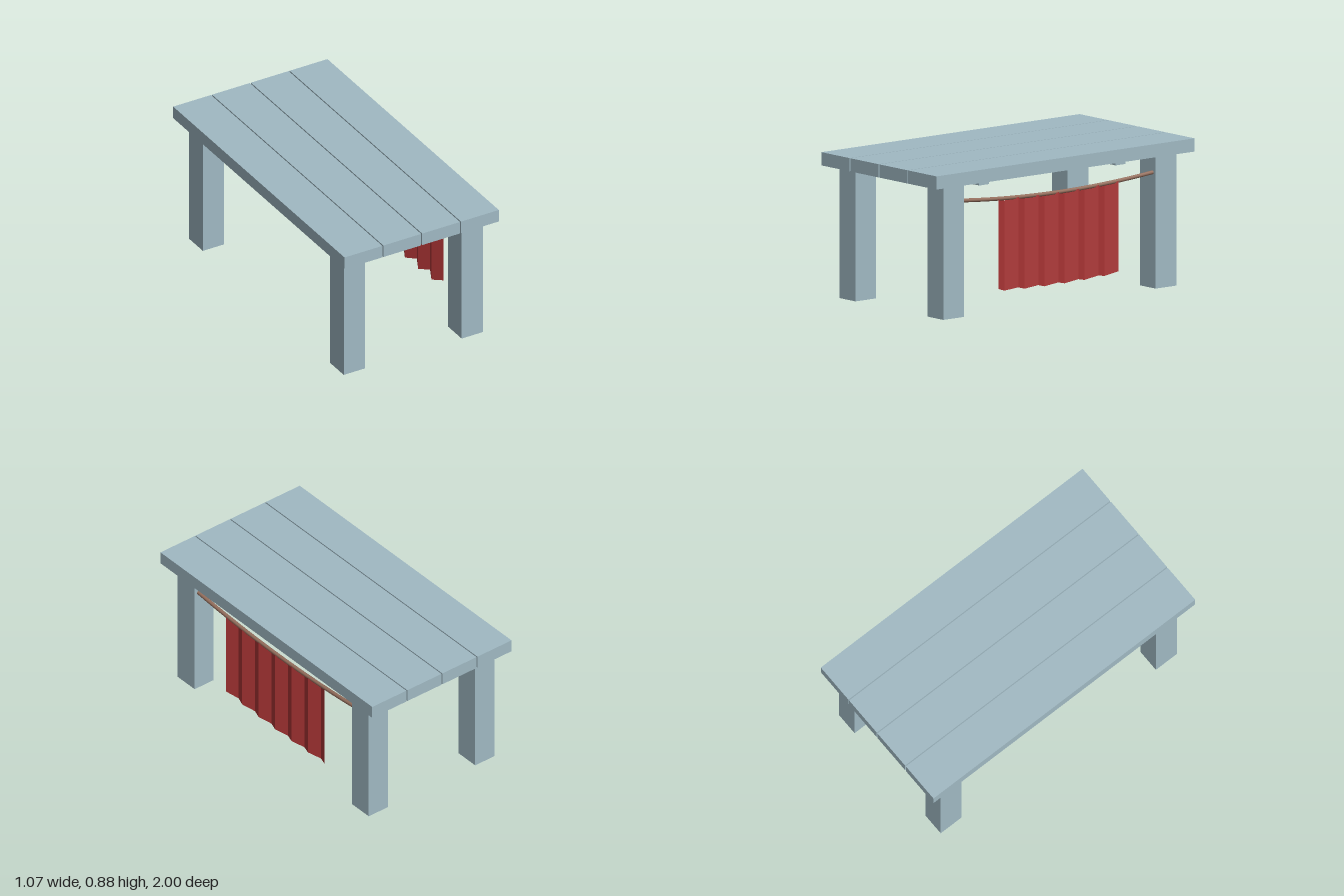
import * as THREE from 'three';

const wood = new THREE.MeshStandardMaterial({ color: 0xa0b9c3 });
wood.name = 'paleBlueWood';
const cloth = new THREE.MeshStandardMaterial({ color: 0xb03636, side: THREE.DoubleSide });
cloth.name = 'redCloth';
const rodBrown = new THREE.MeshStandardMaterial({ color: 0x96705e });
rodBrown.name = 'brownRod';

// height of the sagging rod along z
const rodY = (z) => 0.663 + 0.035 * (z / 0.74) ** 2;

export function createModel() {
  const model = new THREE.Group();
  model.name = 'table';

  const add = (name, geometry, material) => {
    const mesh = new THREE.Mesh(geometry, material);
    mesh.name = name;
    model.add(mesh);
    return mesh;
  };
  const box = (name, w, h, d, x, y, z) =>
    add(name, new THREE.BoxGeometry(w, h, d), wood).position.set(x, y, z);

  // four top planks with narrow gaps
  for (let i = 0; i < 4; i++) box('plank', 0.261, 0.08, 2, (i - 1.5) * 0.268, 0.845, 0);

  // legs and cross rails
  for (const sz of [1, -1]) {
    for (const sx of [1, -1]) box('leg', 0.146, 0.805, 0.16, sx * 0.407, 0.4025, sz * 0.822);
    box('crossRail', 0.82, 0.042, 0.076, 0, 0.784, sz * 0.528);
  }

  // sagging rod between the two left legs
  const points = [];
  for (let i = 0; i <= 8; i++) {
    const z = -0.745 + (1.49 * i) / 8;
    points.push(new THREE.Vector3(0.45, rodY(z), z));
  }
  add('curtainRod', new THREE.TubeGeometry(new THREE.CatmullRomCurve3(points), 16, 0.012, 8), rodBrown);

  // pleated curtain: every second fold is pushed in and down
  const folds = 12;
  const sheet = new THREE.PlaneGeometry(1, 1, folds, 1);
  const pos = sheet.attributes.position;
  for (let i = 0; i < pos.count; i++) {
    const fold = i % (folds + 1);
    const inner = fold % 2;
    const z = 0.465 - (0.93 * fold) / folds;
    const bottom = i > folds ? 0.545 : 0;
    pos.setXYZ(i, inner ? 0.43 : 0.466, rodY(z) + 0.003 - inner * 0.02 - bottom, z);
  }
  const curtain = sheet.toNonIndexed();
  curtain.computeVertexNormals();
  add('curtain', curtain, cloth);

  return model;
}
